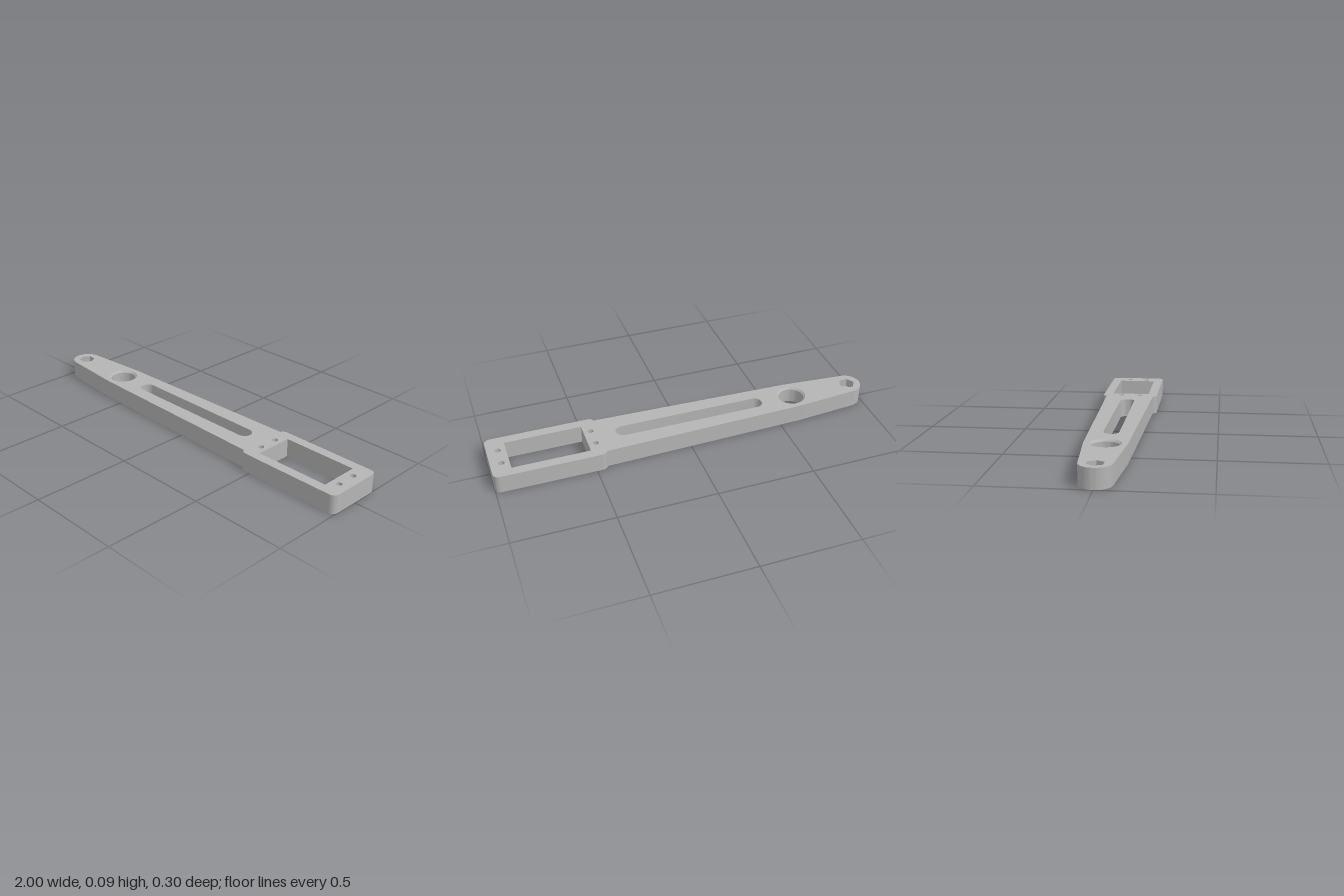
import * as THREE from 'three';
import { mergeGeometries, toCreasedNormals } from 'three/addons/utils/BufferGeometryUtils.js';

const H = 0.095;         // plate thickness
const BEVEL = 0.01;      // chamfer of the large bore
const HEX_FLOOR = 0.05;  // height of the nut pocket's floor
const PI = Math.PI;

// Points along an arc in plan (x, y = -z)
function arc(cx, cy, r, from, to, n) {
  return Array.from({ length: n + 1 }, (_, i) => {
    const a = from + (to - from) * i / n;
    return new THREE.Vector2(cx + r * Math.cos(a), cy + r * Math.sin(a));
  });
}

const circle = (cx, cy, r, n = 48) => arc(cx, cy, r, 0, 2 * PI, n).slice(0, n);

// Horizontal face with holes, facing up or down
function face(outline, holes, y, up) {
  const shape = new THREE.Shape(outline);
  shape.holes = holes.map((h) => new THREE.Path(h));
  const g = new THREE.ShapeGeometry(shape).rotateX(up ? -PI / 2 : PI / 2);
  if (!up) g.scale(1, 1, 1);
  return g.translate(0, y, 0);
}

// Wall joining a lower ring to an upper ring; solid lies left of the path
function wall(low, high, y0, y1) {
  const pos = [];
  const put = (p, y) => pos.push(p.x, y, -p.y);
  low.forEach((a, i) => {
    const j = (i + 1) % low.length;
    put(a, y0); put(low[j], y0); put(high[j], y1);
    put(a, y0); put(high[j], y1); put(high[i], y1);
  });
  const g = new THREE.BufferGeometry();
  g.setAttribute('position', new THREE.Float32BufferAttribute(pos, 3));
  return toCreasedNormals(g, 0.5);
}

// Wall of a hole, facing inwards
const holeWall = (low, high, y0, y1) => wall([...low].reverse(), [...high].reverse(), y0, y1);

export function createModel() {
  const group = new THREE.Group();
  group.name = 'servoArm';
  const grey = new THREE.MeshStandardMaterial({ color: 0xb4b4b4 });
  grey.name = 'plain grey';

  const add = (name, ...parts) => {
    const clean = parts.map((p) => {
      const g = p.index ? p.toNonIndexed() : p;
      g.deleteAttribute('uv');
      return g;
    });
    const mesh = new THREE.Mesh(mergeGeometries(clean), grey);
    mesh.name = name;
    group.add(mesh);
  };

  // Outline: rounded head, tapered arm, round tip
  const tilt = 0.085;
  const outline = [
    ...arc(0.47, -0.12, 0.03, PI + 0.34, 1.5 * PI, 8),
    ...arc(0.97, -0.12, 0.03, 1.5 * PI, 2 * PI, 10),
    ...arc(0.97, 0.12, 0.03, 0, PI / 2, 10),
    ...arc(0.47, 0.12, 0.03, PI / 2, PI - 0.34, 8),
    new THREE.Vector2(-0.6, 0.102),
    ...arc(-0.925, 0, 0.075, PI / 2 + tilt, 1.5 * PI - tilt, 32),
    new THREE.Vector2(-0.6, -0.102),
  ];

  // Openings
  const servoWindow = [[0.515, -0.1], [0.905, -0.1], [0.905, 0.1], [0.515, 0.1]]
    .map(([x, y]) => new THREE.Vector2(x, y));
  const slot = [
    ...arc(0.322, 0, 0.038, -PI / 2, PI / 2, 16),
    ...arc(-0.392, 0, 0.038, PI / 2, 1.5 * PI, 16),
  ];
  const screws = [];
  for (const x of [0.478, 0.945]) {
    for (const y of [-0.05, 0.05]) screws.push(circle(x, y, 0.015, 20));
  }
  const bore = circle(-0.6, 0, 0.065);
  const boreRim = circle(-0.6, 0, 0.075);
  const hex = circle(-0.927, 0, 0.042, 6);
  const pivot = circle(-0.927, 0, 0.022, 24);
  const through = [servoWindow, slot, ...screws];

  // Faces and walls
  add('topFace', face(outline, [...through, boreRim, hex], H, true));
  // The plan is mirror-symmetric, so the flipped face lines up
  add('bottomFace', face(outline, [...through, boreRim, pivot], 0, false));
  add('outerWall', wall(outline, outline, 0, H));
  add('servoWindow', holeWall(servoWindow, servoWindow, 0, H));
  add('slot', holeWall(slot, slot, 0, H));
  add('screwHoles', ...screws.map((s) => holeWall(s, s, 0, H)));
  add('bearingBore',
    holeWall(boreRim, bore, 0, BEVEL),
    holeWall(bore, bore, BEVEL, H - BEVEL),
    holeWall(bore, boreRim, H - BEVEL, H));
  add('nutPocket',
    holeWall(hex, hex, HEX_FLOOR, H),
    face(hex, [pivot], HEX_FLOOR, true),
    holeWall(pivot, pivot, 0, HEX_FLOOR));

  return group;
}
